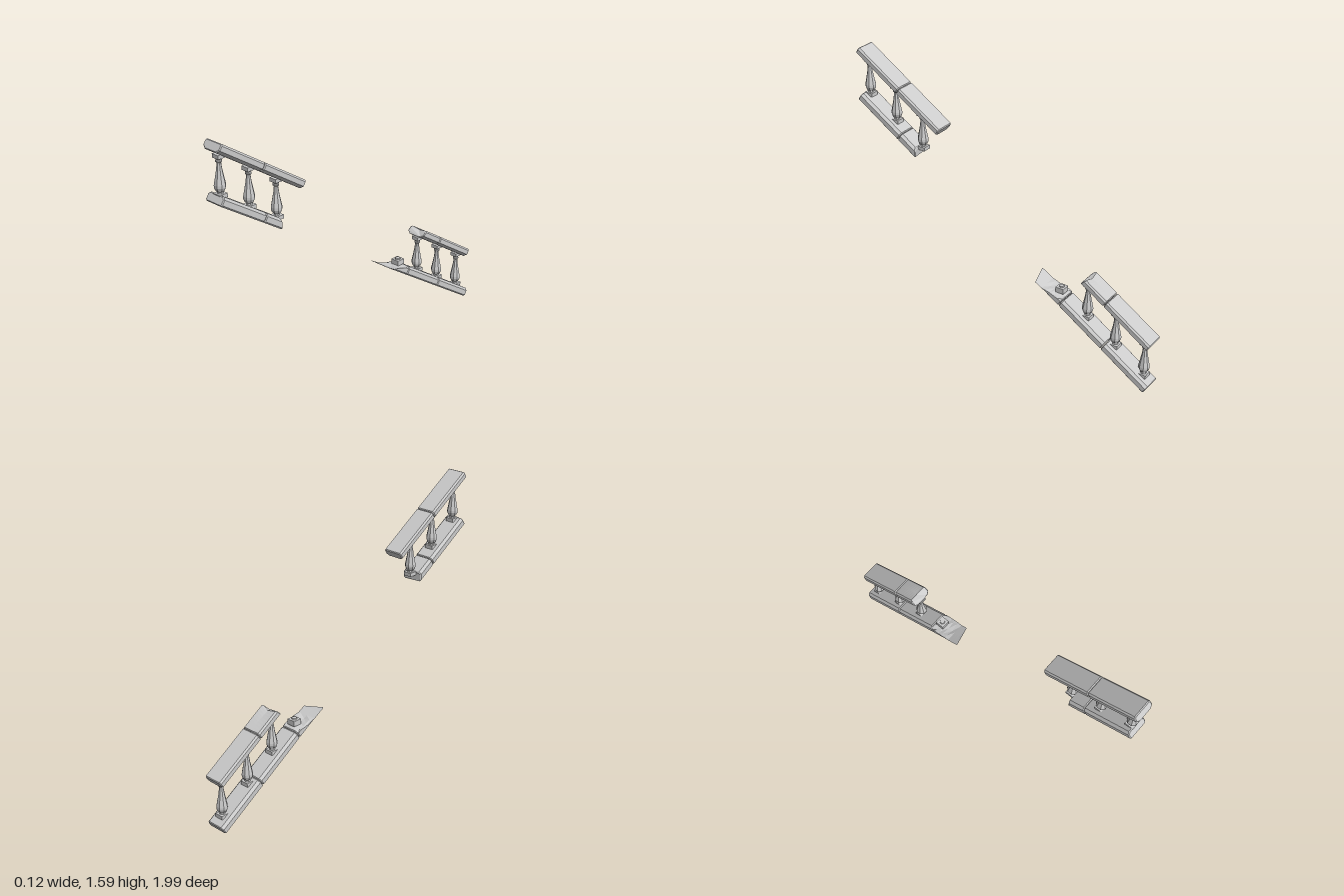
import * as THREE from 'three';

const TAN = 0.65, ANGLE = Math.atan(TAN);
const CX = -0.003;
const PIECE = 0.337, GAP = 0.002;

const stone = new THREE.MeshStandardMaterial({ color: 0xcccccc, flatShading: true, side: THREE.DoubleSide });

// Half cross-sections (x, height), from the underside to the top
const HANDRAIL = [[0.042, 0], [0.0625, 0.016], [0.0625, 0.042], [0.054, 0.052]];
const BASE_RAIL = [[0.055, 0], [0.0625, 0.008], [0.0625, 0.038], [0.048, 0.052]];

function section(half) {
  const pts = half.map(([x, y]) => new THREE.Vector2(x, y));
  pts.push(new THREE.Vector2(0, 0.052)); // middle point lets broken ends dip
  for (const [x, y] of [...half].reverse()) pts.push(new THREE.Vector2(-x, y));
  return new THREE.Shape(pts);
}

// One stone block of a sloping rail; deform(v, length) can break its shape
function block(name, half, start, from, to, deform) {
  const bevel = 0.005, length = to - from - GAP;
  const geo = new THREE.ExtrudeGeometry(section(half), {
    depth: length - 2 * bevel, steps: deform ? 8 : 1, bevelEnabled: true,
    bevelSize: bevel, bevelOffset: -bevel, bevelThickness: bevel, bevelSegments: 1,
  });
  geo.translate(0, 0, bevel);
  if (deform) {
    const p = geo.attributes.position, v = new THREE.Vector3();
    for (let i = 0; i < p.count; i++) {
      v.fromBufferAttribute(p, i);
      deform(v, length);
      p.setXYZ(i, v.x, v.y, v.z);
    }
  }
  geo.computeVertexNormals();
  const mesh = new THREE.Mesh(geo, stone);
  mesh.name = name;
  mesh.rotation.x = -ANGLE;
  const [z, y] = start;
  mesh.position.set(CX, y + Math.sin(ANGLE) * from, z + Math.cos(ANGLE) * from);
  return mesh;
}

// Turned baluster with square foot and cap
const TURNED = [
  [0.017, 0.02], [0.016, 0.032], [0.024, 0.038], [0.032, 0.056], [0.032, 0.07], [0.026, 0.1],
  [0.018, 0.14], [0.013, 0.175], [0.012, 0.188], [0.018, 0.193], [0.018, 0.2],
  [0.014, 0.204], [0.02, 0.215],
].map(([r, y]) => new THREE.Vector2(r, y));

function slab(name, width, height, y) {
  const mesh = new THREE.Mesh(new THREE.BoxGeometry(width, height, width), stone);
  mesh.name = name;
  mesh.position.y = y;
  return mesh;
}

function baluster(z, y) {
  const g = new THREE.Group();
  g.name = 'baluster';
  const shaft = new THREE.Mesh(new THREE.LatheGeometry(TURNED, 8), stone);
  shaft.name = 'balusterShaft';
  shaft.rotation.y = Math.PI / 8;
  g.add(shaft, slab('balusterFoot', 0.052, 0.022, 0.011), slab('balusterCap', 0.046, 0.022, 0.224));
  g.position.set(CX, y, z);
  return g;
}

export function createModel() {
  const model = new THREE.Group();
  model.name = 'brokenBalustrade';

  // Upper flight
  const upper = new THREE.Group();
  upper.name = 'upperFlight';
  const upHand = [0.435, 1.195];
  for (let i = 0; i < 2; i++)
    upper.add(block('handrailBlock', HANDRAIL, upHand, i * PIECE, (i + 1) * PIECE));
  const upBase = [0.59, 1.014];
  upper.add(block('baseRailBlock', BASE_RAIL, upBase, 0.148, 0.148 + PIECE));
  // broken off almost upright at its low end
  upper.add(block('brokenBaseBlock', BASE_RAIL, upBase, 0, 0.148, (v, len) => {
    const k = 1 - v.z / len;
    v.z += k * (v.y * TAN + 0.006 * Math.sin(v.x * 70));
  }));
  for (const z of [0.945, 0.757, 0.57])
    upper.add(baluster(z, upBase[1] + (z - upBase[0]) * TAN + 0.052));

  // Lower flight
  const lower = new THREE.Group();
  lower.name = 'lowerFlight';
  const lowHand = [-0.972, 0.285];
  lower.add(block('handrailBlock', HANDRAIL, lowHand, 0, PIECE));
  // high end chipped back, with a dip in the middle
  lower.add(block('brokenHandrailBlock', HANDRAIL, lowHand, PIECE, 0.52, (v, len) => {
    const k = Math.max(0, v.z / len);
    const mid = 1 - Math.min(1, Math.abs(v.x) / 0.06);
    v.z -= k * k * (v.y * 0.3 + mid * 0.012);
    if (v.y > 0.045) v.y -= k * k * mid * 0.008;
  }));
  const lowBase = [-0.97, 0.005];
  for (let i = 0; i < 2; i++)
    lower.add(block('baseRailBlock', BASE_RAIL, lowBase, i * PIECE, (i + 1) * PIECE));
  // last block sheared away to a thin splinter on one side
  lower.add(block('splinteredBaseBlock', BASE_RAIL, lowBase, 2 * PIECE, 2 * PIECE + 0.222, (v, len) => {
    const s = v.z, k = s / len;
    const top = Math.max(0.009 * (1.2 - k), 0.056 - 0.42 * s + 0.006 * Math.sin(v.x * 60 + s * 40));
    v.y = Math.min(v.y, top);
    if (k > 0.6) v.z -= (k - 0.6) * 2.5 * Math.min(0.035, Math.max(0, v.x + 0.058) * 0.9);
  }));
  for (const z of [-0.565, -0.752, -0.94])
    lower.add(baluster(z, lowBase[1] + (z - lowBase[0]) * TAN + 0.052));

  // Stump of a lost baluster
  const stump = new THREE.Group();
  stump.name = 'balusterStump';
  stump.add(slab('stumpFoot', 0.052, 0.032, 0.004));
  const neck = new THREE.Mesh(new THREE.CylinderGeometry(0.014, 0.017, 0.012, 8), stone);
  neck.name = 'stumpNeck';
  neck.position.y = 0.022;
  stump.add(neck);
  stump.position.set(CX, 0.444, -0.392);
  lower.add(stump);

  model.add(upper, lower);
  return model;
}
